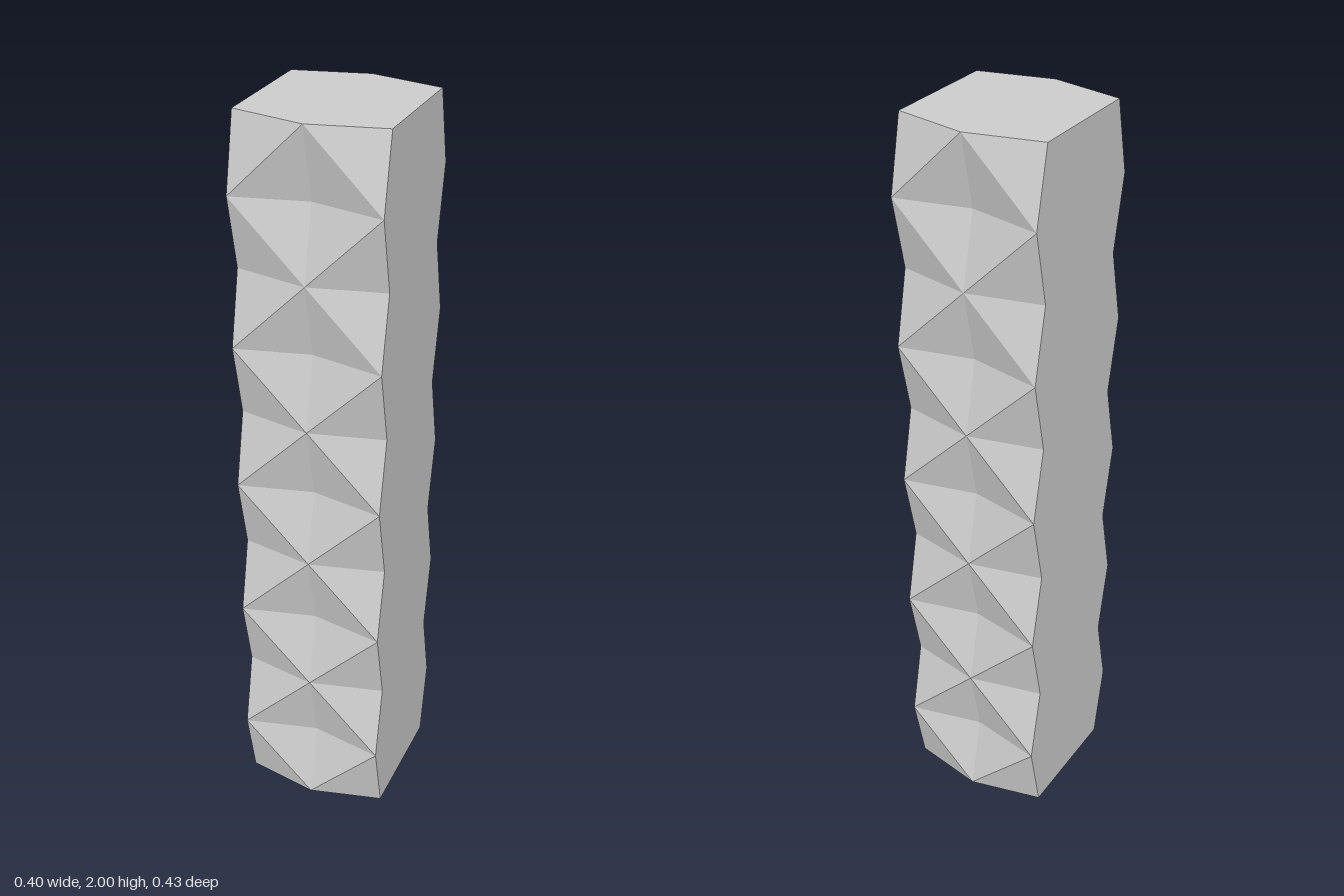
import * as THREE from 'three';

const ROWS = 10, STEP = 0.2, OUT = 0.215, IN = 0.17;
const mat = new THREE.MeshStandardMaterial({ color: 0xcccccc, flatShading: true });

// Depth of the surface alternates like a chequerboard over columns and rows
const isRidge = (i, j) => (i + j) % 2 === 1;
const depth = (i, j) => (isRidge(i, j) ? OUT : IN);
const point = (i, j, side = 1) => [(i - 1) * STEP, j * STEP, side * depth(i, j)];

function meshFrom(name, triangles) {
  const geo = new THREE.BufferGeometry();
  geo.setAttribute('position', new THREE.Float32BufferAttribute(triangles.flat(2), 3));
  geo.computeVertexNormals();
  const mesh = new THREE.Mesh(geo, mat);
  mesh.name = name;
  return mesh;
}

// Faceted face: each cell folds outward along the diagonal joining its two high corners
function facetedFace(name) {
  const tris = [];
  for (let j = 0; j < ROWS; j++) {
    for (let i = 0; i < 2; i++) {
      const a = point(i, j), b = point(i + 1, j);
      const c = point(i + 1, j + 1), d = point(i, j + 1);
      if (isRidge(i, j)) tris.push([a, b, c], [a, c, d]);
      else tris.push([a, b, d], [b, c, d]);
    }
  }
  return meshFrom(name, tris);
}

// Flat side wall with zigzag edges
function sideWall(name) {
  const tris = [];
  for (let j = 0; j < ROWS; j++) {
    const a = point(2, j), b = point(2, j, -1);
    const c = point(2, j + 1, -1), d = point(2, j + 1);
    tris.push([a, b, c], [a, c, d]);
  }
  return meshFrom(name, tris);
}

// Six-sided end cap, fanned from its first corner
function endCap(name, j, up) {
  const ring = [0, 1, 2].map(i => point(i, j)).concat([2, 1, 0].map(i => point(i, j, -1)));
  const tris = [];
  for (let k = 1; k < ring.length - 1; k++) {
    tris.push(up ? [ring[0], ring[k], ring[k + 1]] : [ring[0], ring[k + 1], ring[k]]);
  }
  return meshFrom(name, tris);
}

export function createModel() {
  const column = new THREE.Group();
  column.name = 'facetedColumn';

  const back = facetedFace('backFace');
  const right = sideWall('rightWall');
  back.rotation.y = right.rotation.y = Math.PI;

  column.add(
    facetedFace('frontFace'), back,
    sideWall('leftWall'), right,
    endCap('topCap', ROWS, true), endCap('bottomCap', 0, false)
  );
  return column;
}
